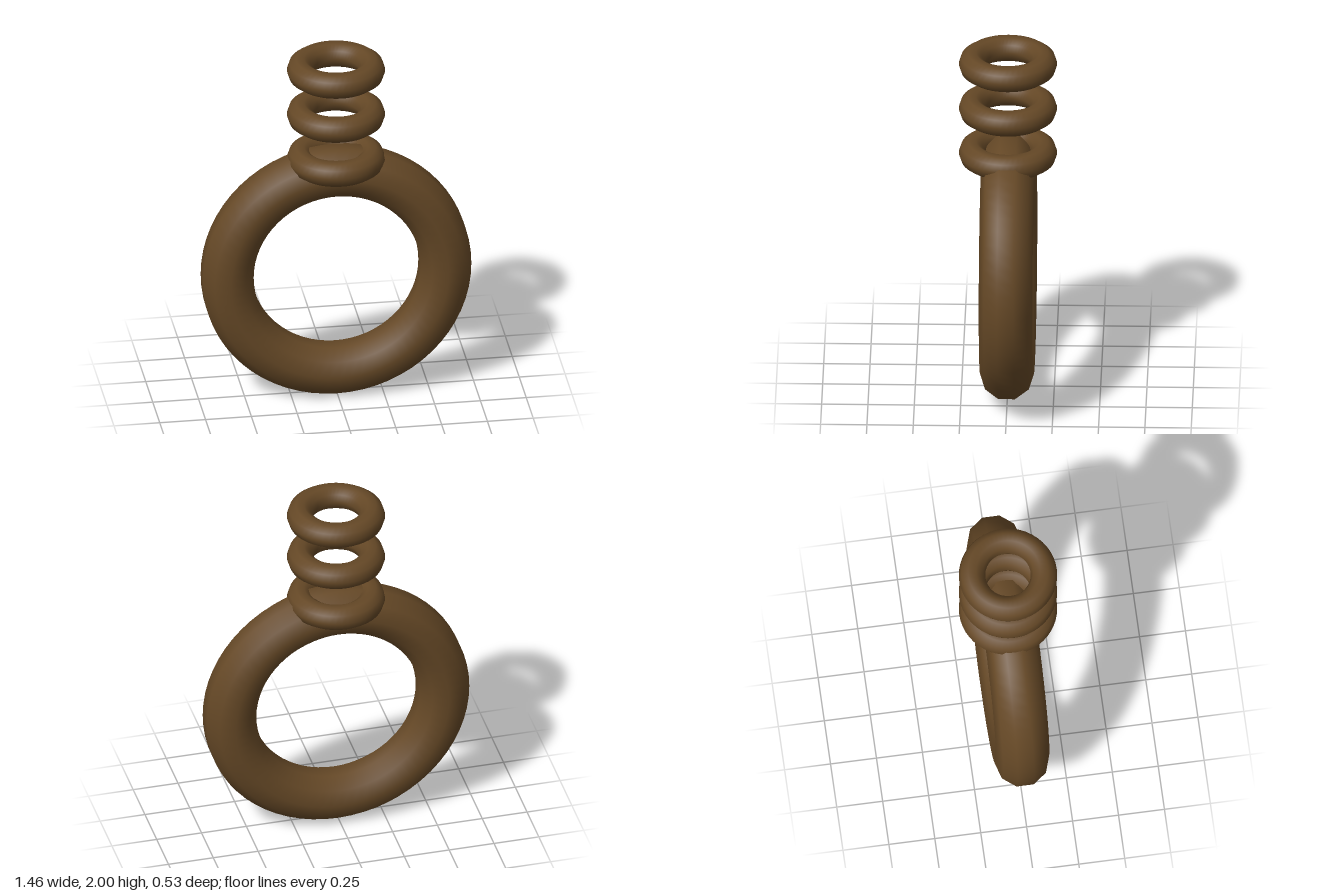
import * as THREE from 'three';

// Ring with a ten-sided section; phase turns the section about its own centre.
function ringGeometry(radius, tube, sides, segments, phase) {
  const geometry = new THREE.TorusGeometry(radius, tube, sides, segments);
  const { position, normal } = geometry.attributes;
  for (let i = 0; i < position.count; i++) {
    const u = (i % (segments + 1)) / segments * Math.PI * 2;
    const v = Math.floor(i / (segments + 1)) / sides * Math.PI * 2 + phase;
    const r = radius + tube * Math.cos(v);
    position.setXYZ(i, r * Math.cos(u), r * Math.sin(u), tube * Math.sin(v));
    normal.setXYZ(i, Math.cos(v) * Math.cos(u), Math.cos(v) * Math.sin(u), Math.sin(v));
  }
  return geometry;
}

export function createModel() {
  const group = new THREE.Group();
  const brown = new THREE.MeshStandardMaterial({ color: 0x654826 });
  brown.name = 'dark brown';

  // Large upright ring
  const largeRing = new THREE.Mesh(ringGeometry(0.594, 0.145, 10, 64, Math.PI / 10), brown);
  largeRing.name = 'largeRing';
  largeRing.position.y = 0.732;
  group.add(largeRing);

  // Three small level rings, the lowest sunk into the large one
  const smallGeometry = ringGeometry(0.194, 0.0713, 10, 48, 0);
  smallGeometry.rotateX(-Math.PI / 2);
  ['lowerRing', 'middleRing', 'upperRing'].forEach((name, i) => {
    const ring = new THREE.Mesh(smallGeometry, brown);
    ring.name = name;
    ring.position.y = 1.4 + i * 0.266;
    group.add(ring);
  });

  return group;
}
